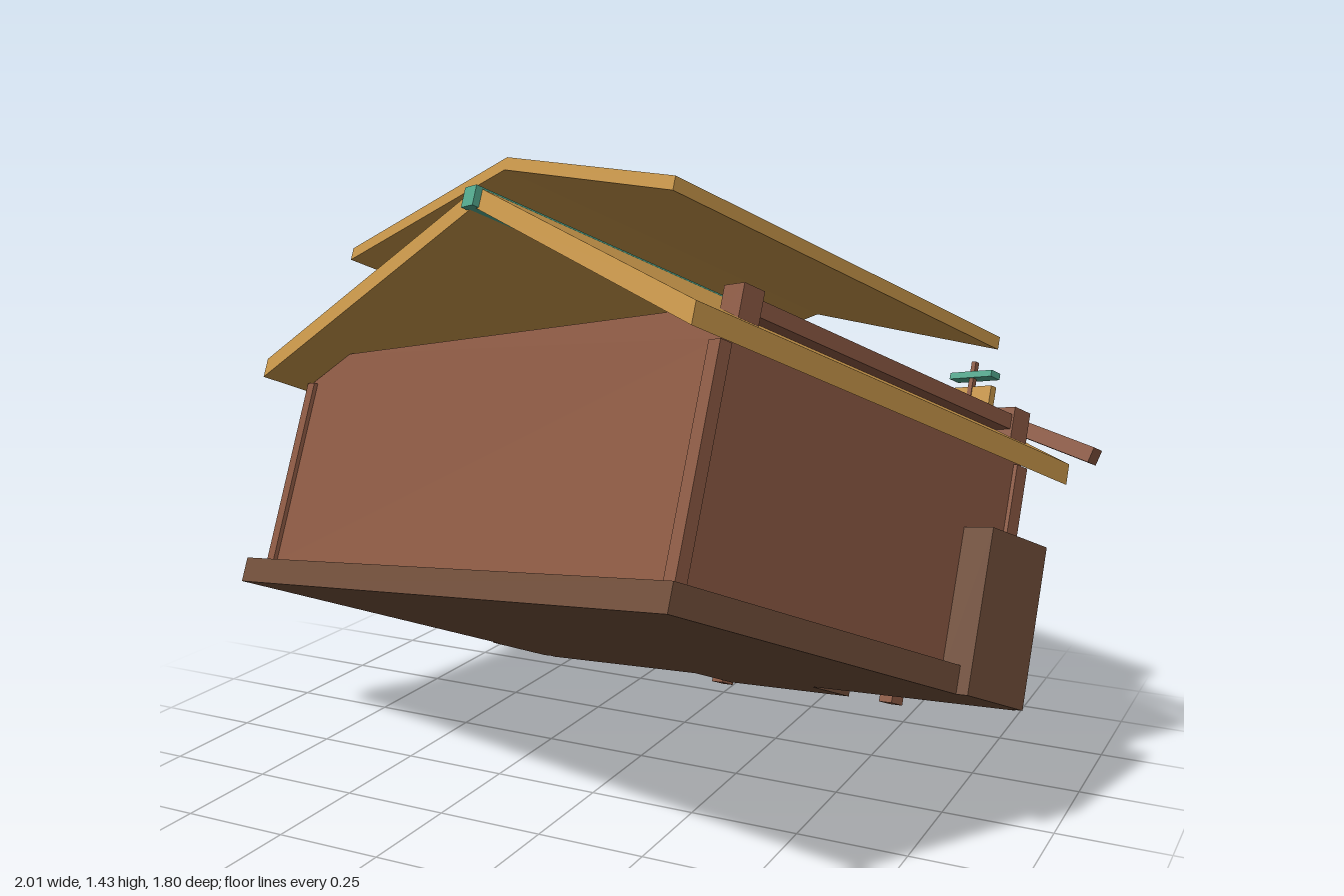
import * as THREE from 'three';

const mat = (name, color) => {
  const m = new THREE.MeshStandardMaterial({ color });
  m.name = name;
  return m;
};

export function createModel() {
  const gold = mat('golden roof', 0xc49348);
  const brown = mat('red brown wood', 0x8a5842);
  const umber = mat('dull brown base', 0x704e3a);
  const teal = mat('teal trim', 0x52a68c);
  const navy = mat('dark window', 0x12242e);

  const model = new THREE.Group();
  model.name = 'house';
  // The whole house is turned and pitched
  model.rotation.set(THREE.MathUtils.degToRad(-25), THREE.MathUtils.degToRad(-25), 0);
  const house = new THREE.Group();
  house.name = 'building';
  house.position.x = 0.1;
  model.add(house);

  const add = (name, geometry, material) => {
    const mesh = new THREE.Mesh(geometry, material);
    mesh.name = name;
    house.add(mesh);
    return mesh;
  };
  // Box given by its limits on each axis
  const box = (name, material, x0, x1, y0, y1, z0, z1) => {
    const mesh = add(name, new THREE.BoxGeometry(x1 - x0, y1 - y0, z1 - z0), material);
    mesh.position.set((x0 + x1) / 2, (y0 + y1) / 2, (z0 + z1) / 2);
    return mesh;
  };
  // Outline in x and y, extruded from z0 to z1
  const slab = (name, material, points, z0, z1) => {
    const shape = new THREE.Shape(points.map(([x, y]) => new THREE.Vector2(x, y)));
    const geo = new THREE.ExtrudeGeometry(shape, { depth: z1 - z0, bevelEnabled: false });
    geo.translate(0, 0, z0);
    return add(name, geo, material);
  };
  const gableRoof = (name, half, eave, ridge, thick, z0, z1) => slab(name, gold, [
    [-half, eave], [-half, eave - thick], [0, ridge - thick],
    [half, eave - thick], [half, eave], [0, ridge],
  ], z0, z1);

  // Base, step and walls; the gable is closed only on the entrance side
  box('base', umber, -0.81, 0.81, 0.243, 0.303, -0.22, 0.785);
  box('doorStep', umber, -0.21, 0.21, 0.243, 0.3, -0.353, -0.22);
  slab('walls', brown, [
    [-0.763, 0.3], [0.763, 0.3], [0.763, 0.77], [0.61, 0.835], [-0.61, 0.835], [-0.763, 0.77],
  ], -0.175, 0.74);
  slab('entranceGable', brown, [[-0.61, 0.833], [0.61, 0.833], [0, 1.09]], -0.175, -0.13);
  box('gableBeam', brown, -0.62, 0.62, 0.795, 0.835, -0.195, -0.17);
  box('gableStrut', brown, -0.012, 0.012, 0.72, 0.8, -0.19, -0.17);

  // Roofs, ridge beam and chimney
  gableRoof('lowerRoof', 0.81, 0.8, 1.14, 0.047, -0.28, 0.855);
  gableRoof('upperRoof', 0.608, 1.092, 1.232, 0.03, -0.225, 0.797);
  box('ridgeBeam', teal, -0.022, 0.022, 1.088, 1.135, -0.32, 0.872);
  box('chimney', brown, -0.564, -0.42, 0.82, 1.205, 0.39, 0.515);

  for (const s of [-1, 1]) {
    const pair = (name, material, xa, xb, ...rest) =>
      box(name, material, Math.min(s * xa, s * xb), Math.max(s * xa, s * xb), ...rest);

    // Corner trim and side buttresses
    pair('frontCornerTrim', brown, 0.74, 0.773, 0.3, 0.765, 0.72, 0.75);
    pair('entranceCornerTrim', brown, 0.74, 0.773, 0.3, 0.765, -0.185, -0.15);
    pair('buttress', umber, 0.755, 0.84, 0.243, 0.595, -0.205, -0.02);

    // Eave rails with end blocks
    pair('eaveRail', brown, 0.722, 0.768, 0.835, 0.868, -0.15, 0.7);
    for (const z of [-0.14, 0.69]) {
      pair('eaveRailBlock', brown, 0.717, 0.773, 0.815, 0.885, z - 0.027, z + 0.027);
    }

    // Gable boards reaching past the eaves
    const board = add('gableBoard', new THREE.BoxGeometry(0.91, 0.035, 0.03), brown);
    board.position.set(s * 0.43, 0.968, -0.298);
    board.rotation.z = -s * 0.328;

    // Porch posts, door jambs, windows
    pair('porchPost', brown, 0.28, 0.32, 0.243, 0.675, -0.425, -0.385);
    pair('doorJamb', teal, 0.147, 0.193, 0.3, 0.685, -0.21, -0.17);
    pair('windowPane', navy, 0.38, 0.57, 0.5, 0.7, -0.181, -0.173);

    // Hanging shutter slats
    for (let i = 0; i < 6; i++) {
      const y = 0.43 + i * 0.054;
      pair('shutterSlat', teal, 0.49, 0.62, y, y + 0.014, -0.225, -0.195);
    }
  }

  // Porch
  box('porchRoof', gold, -0.335, 0.335, 0.675, 0.705, -0.445, -0.17);
  box('door', brown, -0.147, 0.147, 0.3, 0.68, -0.19, -0.172);

  // Hanging ornaments: rod, plate, diamond and top bar
  const ornament = (x, y, w, h, rodBottom) => {
    box('ornamentRod', brown, x - 0.006, x + 0.006, rodBottom, 1.03, -0.217, -0.205);
    box('ornamentPlate', gold, x - w / 2, x + w / 2, y - h / 2, y + h / 2, -0.225, -0.207);
    box('ornamentBar', teal, x - 0.06, x + 0.06, 0.99, 1.005, -0.232, -0.2);
    const d = box('ornamentDiamond', teal, x - 0.02, x + 0.02, y - 0.02, y + 0.02, -0.25, -0.22);
    d.rotation.z = Math.PI / 4;
  };
  ornament(0.56, 0.875, 0.12, 0.19, 0.42);
  ornament(-0.56, 0.875, 0.12, 0.19, 0.42);
  ornament(0, 0.905, 0.28, 0.085, 0.78);

  return model;
}
